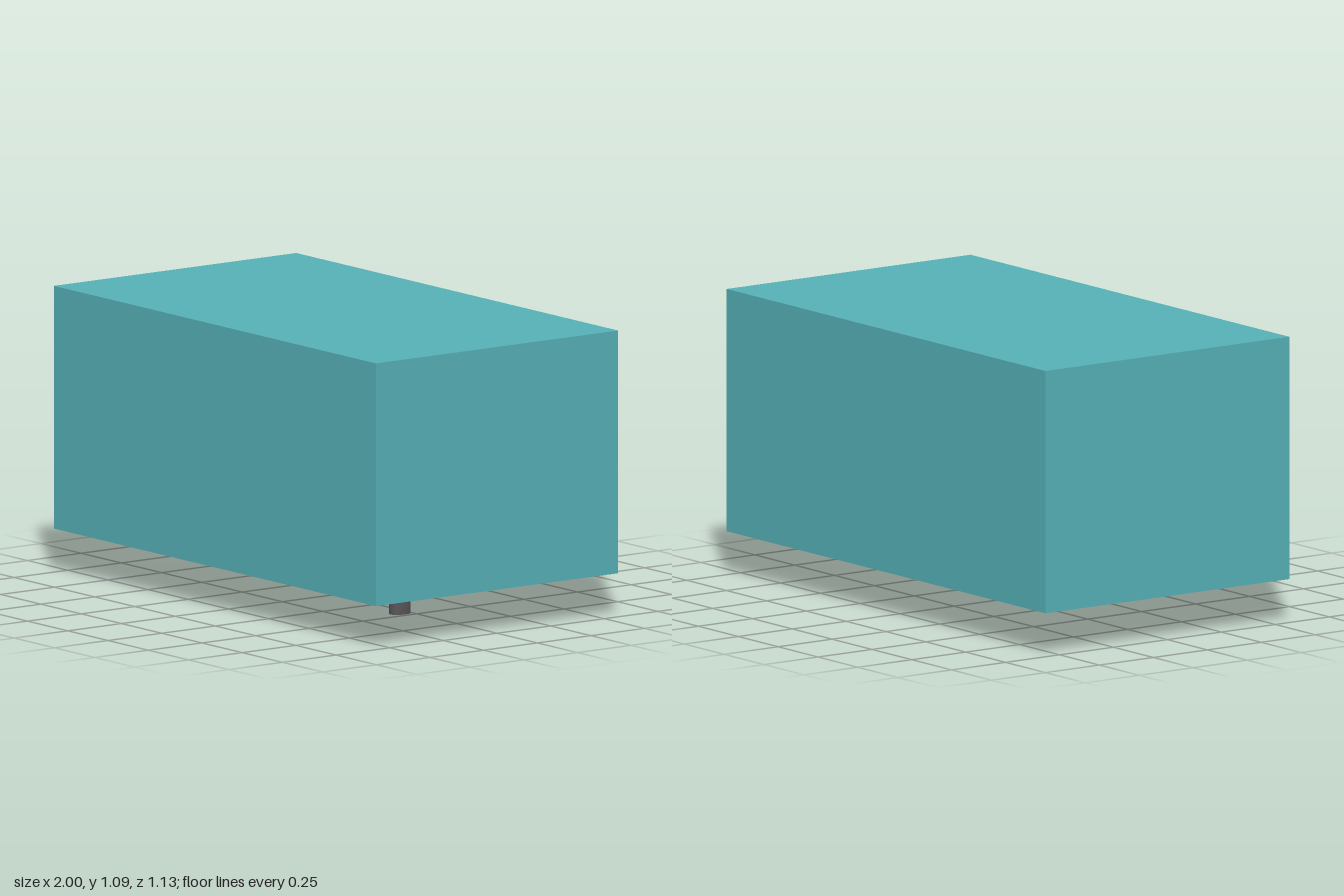
import * as THREE from 'three';

const mat = (name, color, side = THREE.FrontSide) => {
  const m = new THREE.MeshStandardMaterial({ color, side });
  m.name = name;
  return m;
};

const FLOOR = 0.165, TOP = 1.085;

export function createModel() {
  const teal = mat('teal', 0x55b0b6);
  const grey = mat('floor grey', 0xa4a4a4);
  const dark = mat('dark grey', 0x555555);
  const olive = mat('olive', 0xa09a3c);
  const purple = mat('purple', 0xb070a0);
  const pink = mat('pink', 0xdc90c4);
  const yellow = mat('yellow', 0xe8d060);
  const model = new THREE.Group();

  const add = (name, geometry, material, x = 0, y = 0, z = 0) => {
    const mesh = new THREE.Mesh(geometry, material);
    mesh.name = name;
    mesh.position.set(x, y, z);
    model.add(mesh);
    return mesh;
  };

  // Large block with a grey underside
  add('block', new THREE.BoxGeometry(2, TOP - FLOOR, 1.13),
    [teal, teal, teal, grey, teal, teal], 0, (TOP + FLOOR) / 2, 0);

  // Thin plate hanging under the floor, outlined in (x, z)
  const plate = (name, points, material, depth) => {
    const shape = new THREE.Shape(points.map(([x, z]) => new THREE.Vector2(x, z)));
    const geometry = new THREE.ExtrudeGeometry(shape, { depth, bevelEnabled: false });
    geometry.rotateX(Math.PI / 2);
    add(name, geometry, material, 0, FLOOR, 0);
  };

  // Ribbon of constant width along a polyline in (x, z)
  const ribbon = (name, points, width, material, depth) => {
    const left = [], right = [];
    points.forEach(([x, z], i) => {
      const a = points[Math.max(0, i - 1)], b = points[Math.min(points.length - 1, i + 1)];
      const dx = b[0] - a[0], dz = b[1] - a[1], k = width / 2 / Math.hypot(dx, dz);
      left.push([x - dz * k, z + dx * k]);
      right.unshift([x + dz * k, z - dx * k]);
    });
    plate(name, left.concat(right), material, depth);
  };

  // Olive patches
  plate('leftPatch', [
    [0.76, -0.2], [0.55, -0.21], [0.555, -0.08], [0.46, -0.08], [0.245, -0.04], [0.16, 0.06],
    [0.09, 0.21], [0.01, 0.23], [0.045, 0.33], [0.19, 0.33], [0.4, 0.27], [0.59, 0.175],
    [0.68, 0.1], [0.725, 0],
  ], olive, 0.002);
  plate('rightPatch', [
    [-0.19, 0.07], [-0.33, 0], [-0.49, -0.01], [-0.74, 0.115], [-0.78, 0.24], [-0.76, 0.35],
    [-0.685, 0.43], [-0.49, 0.39], [-0.3, 0.325], [-0.25, 0.27], [-0.235, 0.18],
  ], olive, 0.002);

  // Purple winding bands
  ribbon('leftBand', [
    [0.56, -0.16], [0.69, -0.13], [0.68, 0], [0.58, 0.05], [0.44, 0], [0.28, 0.035],
    [0.22, 0.19], [0.12, 0.27], [0.014, 0.23],
  ], 0.075, purple, 0.004);
  ribbon('rightBand', [
    [-0.2, 0.28], [-0.26, 0.16], [-0.435, 0.13], [-0.66, 0.15], [-0.71, 0.225], [-0.66, 0.33],
  ], 0.05, purple, 0.004);
  ribbon('innerBand', [[-0.2, 0.28], [-0.28, 0.28], [-0.45, 0.24]], 0.05, purple, 0.003);

  // Small round markers near the middle
  const disc = (name, r, depth, material, x, z) =>
    add(name, new THREE.CylinderGeometry(r, r, depth, 24), material, x, FLOOR - depth / 2, z);
  disc('markerRim', 0.058, 0.004, purple, -0.167, 0.313);
  disc('markerCentre', 0.032, 0.006, yellow, -0.175, 0.313);
  disc('smallMarker', 0.02, 0.004, purple, -0.125, 0.205);

  // Low pink button
  const button = new THREE.CylinderGeometry(0.068, 0.05, 0.008, 24);
  add('pinkButton', button, pink, 0.124, FLOOR - 0.004, -0.16);
  disc('buttonCentre', 0.028, 0.009, grey, 0.124, -0.16);

  // Dark hanging columns: x, z, half widths, lower end
  const columns = [
    [0.4525, 0.042, 0.033, 0.044, 0],
    [0.338, 0.172, 0.029, 0.043, 0.065],
    [0.42, 0.082, 0.055, 0.083, 0.09],
    [0.478, 0.158, 0.033, 0.043, 0.135],
  ];
  for (const [x, z, rx, rz, bottom] of columns) {
    const h = FLOOR + 0.02 - bottom;
    const geometry = new THREE.CylinderGeometry(1, 1, h, 16);
    geometry.scale(rx, 1, rz);
    add('hangingColumn', geometry, dark, x, bottom + h / 2, z);
  }

  return model;
}
